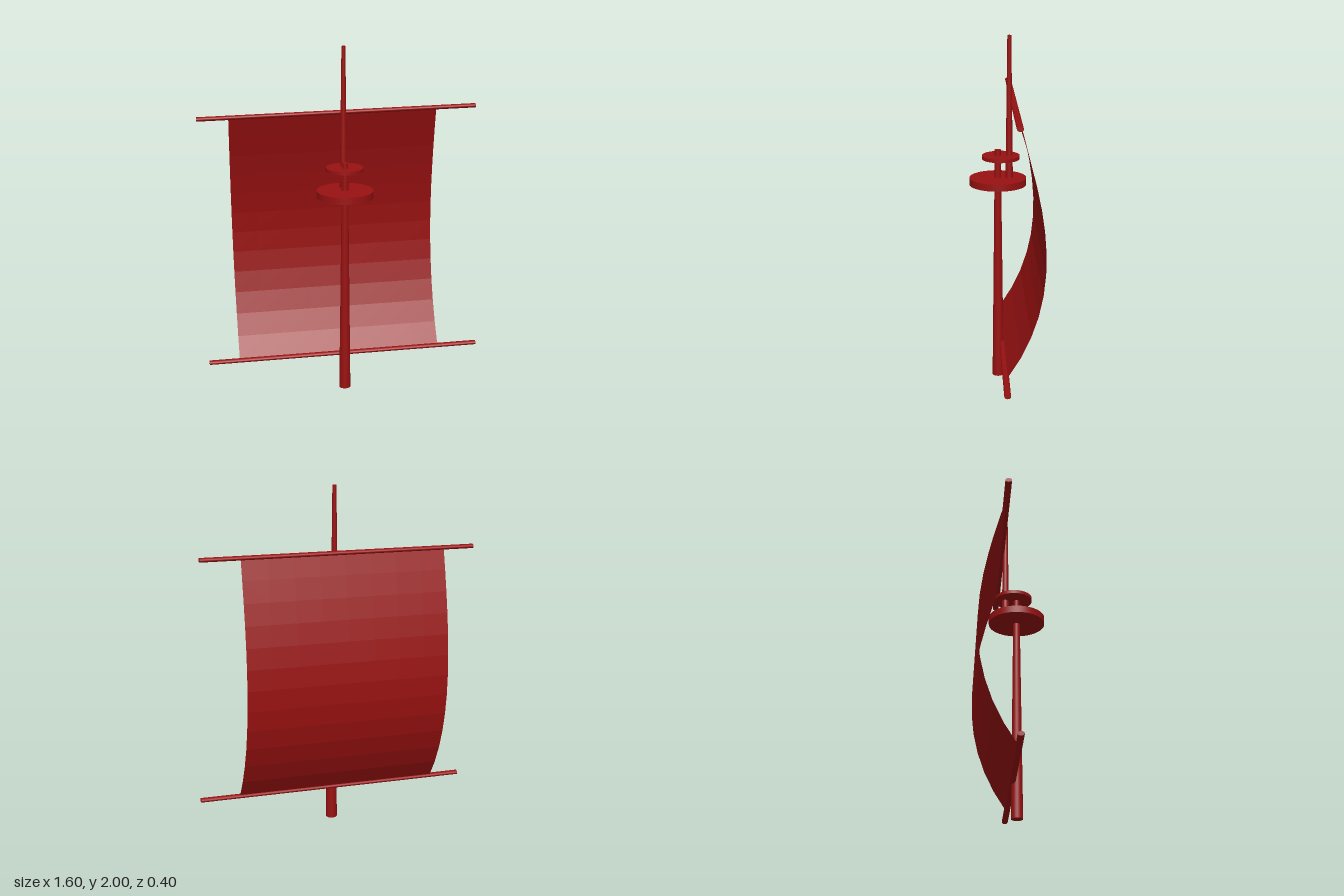
import * as THREE from 'three';

export function createModel() {
  const model = new THREE.Group();
  model.name = 'mastAndSail';
  const red = new THREE.MeshStandardMaterial({ color: 0x991111 });
  const cloth = new THREE.MeshStandardMaterial({ color: 0x991111, flatShading: true, side: THREE.DoubleSide });

  const add = (name, geometry, material = red) => {
    const mesh = new THREE.Mesh(geometry, material);
    mesh.name = name;
    model.add(mesh);
    return mesh;
  };

  // Upright round part between two heights
  const upright = (name, x, z, y0, y1, rBottom, rTop, sides) => {
    const mesh = add(name, new THREE.CylinderGeometry(rTop, rBottom, y1 - y0, sides));
    mesh.position.set(x, (y0 + y1) / 2, z);
  };
  upright('lowerMast', 0.012, 0.042, 0, 1.36, 0.033, 0.017, 24);
  upright('upperMast', 0.012, -0.022, 1.18, 2, 0.021, 0.011, 24);
  upright('lookoutPlatform', 0.012, 0.042, 1.16, 1.2, 0.16, 0.16, 48);
  upright('mastCap', 0.012, 0.025, 1.308, 1.328, 0.106, 0.106, 48);

  // Slightly flattened spar between two points
  const yard = (name, a, b) => {
    const dir = b.clone().sub(a);
    const geometry = new THREE.CylinderGeometry(1, 1, dir.length(), 16);
    geometry.scale(0.012, 1, 0.018);
    const mesh = add(name, geometry);
    mesh.position.copy(a).add(b).multiplyScalar(0.5);
    mesh.quaternion.setFromUnitVectors(new THREE.Vector3(0, 1, 0), dir.normalize());
  };
  const v = (x, y, z) => new THREE.Vector3(x, y, z);
  yard('upperYard', v(-0.8, 1.612, -0.041), v(0.77, 1.643, -0.052));
  yard('lowerYard', v(-0.775, 0.19, 0.021), v(0.8, 0.22, 0.011));

  // Sail: a grid stretched between four corners and bellied backwards
  const bottomLeft = v(-0.6, 0.195, 0.016), bottomRight = v(0.572, 0.218, 0.008);
  const topLeft = v(-0.625, 1.615, -0.042), topRight = v(0.545, 1.638, -0.05);
  const sail = new THREE.PlaneGeometry(1, 1, 8, 12);
  const pos = sail.attributes.position;
  for (let i = 0; i < pos.count; i++) {
    const u = pos.getX(i) + 0.5, t = pos.getY(i) + 0.5;
    const p = bottomLeft.clone().lerp(bottomRight, u)
      .lerp(topLeft.clone().lerp(topRight, u), t);
    p.z -= 0.72 * t * (1 - t) * (1 + 0.6 * (0.5 - t));
    pos.setXYZ(i, p.x, p.y, p.z);
  }
  sail.computeVertexNormals();
  add('sail', sail, cloth);

  return model;
}
